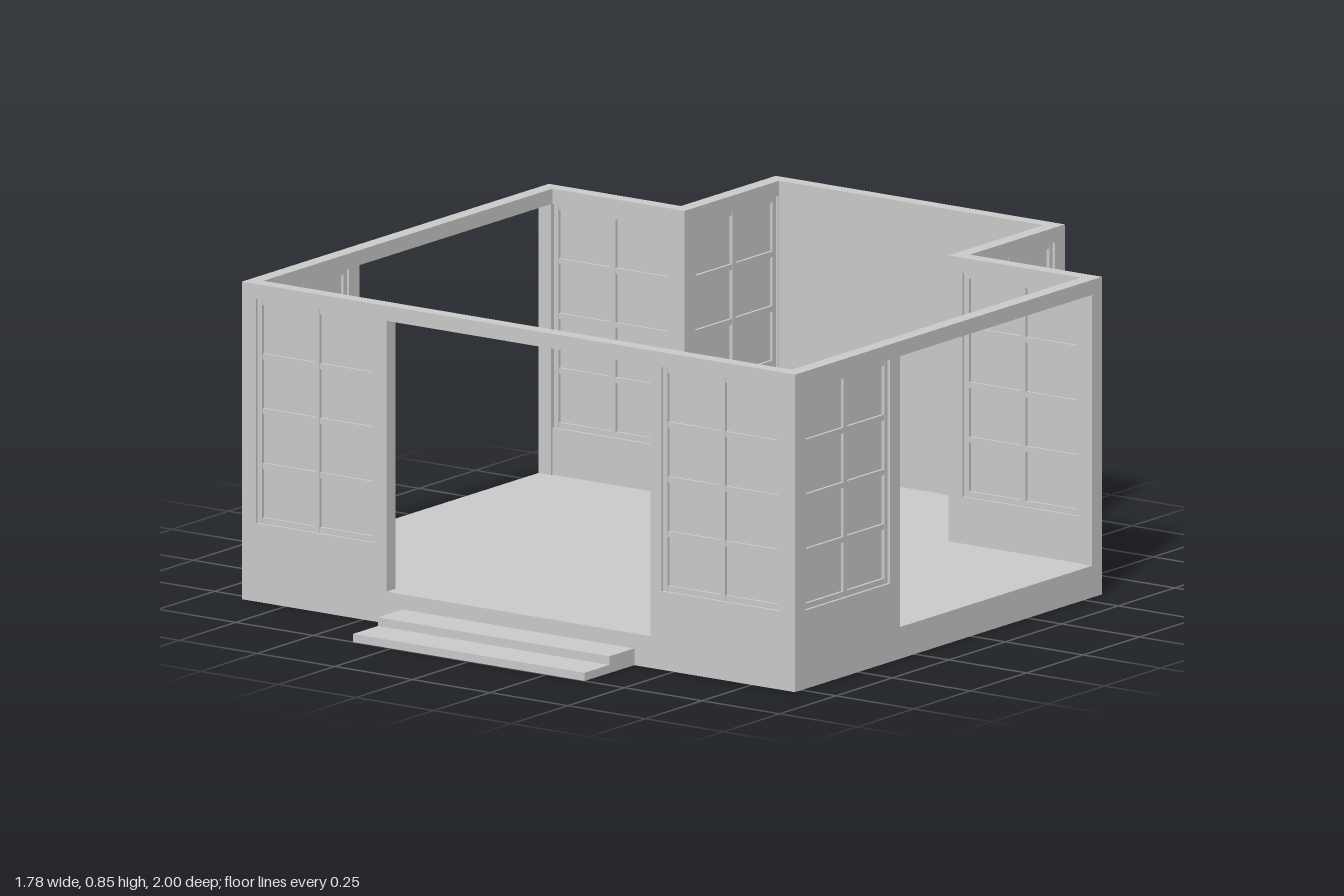
import * as THREE from 'three';

const FLOOR = 0.085, HEAD = 0.81, TOP = 0.85, SILL = 0.21, T = 0.04;
const grey = new THREE.MeshStandardMaterial({ color: 0xcccccc });
const thin = new THREE.MeshStandardMaterial({ color: 0xcccccc, side: THREE.DoubleSide });

function add(parent, name, geometry, material = grey) {
  const mesh = new THREE.Mesh(geometry, material);
  mesh.name = name;
  parent.add(mesh);
  return mesh;
}

const polygon = (pts) => new THREE.Shape(pts.map(([x, y]) => new THREE.Vector2(x, y)));

// Group whose local x runs from a to b on the ground and whose local +z faces outward
function alongLine(name, [ax, az], [bx, bz]) {
  const group = new THREE.Group();
  group.name = name;
  group.position.set(ax, 0, az);
  group.rotation.y = Math.atan2(az - bz, bx - ax);
  return { group, length: Math.hypot(bx - ax, bz - az) };
}

// Recessed pane with a frame and a grid of 2 x 4 lights
function makeWindow(u0, u1) {
  const win = new THREE.Group();
  win.name = 'window';
  const w = u1 - u0, h = HEAD - SILL, bar = 0.015, depth = 0.026;
  win.position.set((u0 + u1) / 2, (SILL + HEAD) / 2, -T / 2);
  add(win, 'pane', new THREE.BoxGeometry(w, h, 0.008));
  for (let i = 0; i <= 2; i++) {
    add(win, 'uprightBar', new THREE.BoxGeometry(bar, h, depth))
      .position.x = (i / 2 - 0.5) * (w - bar);
  }
  for (let i = 0; i <= 4; i++) {
    add(win, 'crossBar', new THREE.BoxGeometry(w, bar, depth - 0.002))
      .position.y = (i / 4 - 0.5) * (h - bar);
  }
  return win;
}

// Wall standing on the floor, with an optional doorway and window holes
function makeWall({ name, a, b, windows = [], opening }) {
  const { group, length } = alongLine(name, a, b);
  const pts = [[0, FLOOR]];
  if (opening) {
    const [o0, o1] = opening;
    pts.push([o0, FLOOR], [o0, HEAD], [o1, HEAD], [o1, FLOOR]);
  }
  pts.push([length, FLOOR], [length, TOP], [0, TOP]);
  const shape = polygon(pts);
  for (const [u0, u1] of windows) {
    shape.holes.push(polygon([[u0, SILL], [u0, HEAD], [u1, HEAD], [u1, SILL]]));
    group.add(makeWindow(u0, u1));
  }
  const geometry = new THREE.ExtrudeGeometry(shape, { depth: T, bevelEnabled: false });
  geometry.translate(0, 0, -T);
  add(group, name + 'Panel', geometry);
  return group;
}

// Two steps, open underneath
function makeSteps() {
  const steps = new THREE.Group();
  steps.name = 'frontSteps';
  const w = 0.745, z0 = 0.78, run = 0.11, low = 0.022, high = 0.045;
  [[z0, high, low], [z0 + run, low, 0]].forEach(([z, y, below]) => {
    const tread = add(steps, 'tread', new THREE.PlaneGeometry(w, run), thin);
    tread.rotation.x = -Math.PI / 2;
    tread.position.set(0, y, z + run / 2);
    add(steps, 'riser', new THREE.PlaneGeometry(w, y - below), thin)
      .position.set(0, (y + below) / 2, z + run);
  });
  const side = polygon([[0, 0], [2 * run, 0], [2 * run, low], [run, low], [run, high], [0, high]]);
  for (const s of [-1, 1]) {
    const cheek = add(steps, 'stepSide', new THREE.ShapeGeometry(side), thin);
    cheek.rotation.y = -Math.PI / 2;
    cheek.position.set(s * w / 2, 0, z0);
  }
  return steps;
}

export function createModel() {
  const model = new THREE.Group();
  model.name = 'room';

  // Outer outline: main room with a narrower alcove at the back
  const X = 0.89, F = 0.78, B = -0.58, A = 0.465, E = -1;
  const outline = [[-X, F], [X, F], [X, B], [A, B], [A, E], [-A, E], [-A, B], [-X, B]];

  // Floor sheet, raised above an open plinth
  const floor = add(model, 'floor',
    new THREE.ShapeGeometry(polygon(outline.map(([x, z]) => [x, -z]))), thin);
  floor.rotation.x = -Math.PI / 2;
  floor.position.y = FLOOR;

  // Plinth skin below the floor
  outline.forEach((a, i) => {
    const { group, length } = alongLine('plinth', a, outline[(i + 1) % outline.length]);
    const skin = new THREE.PlaneGeometry(length, FLOOR).translate(length / 2, FLOOR / 2, 0);
    add(group, 'plinthSkin', skin, thin);
    model.add(group);
  });

  // Walls, listed counterclockwise from the front; spans run along each wall
  const walls = [
    { name: 'frontWall', a: [-X, F], b: [X, F], windows: [[0.045, 0.43], [1.35, 1.735]], opening: [0.465, 1.315] },
    { name: 'leftWall', a: [X, F - T], b: [X, B + T], windows: [[0.004, 0.38]], opening: [0.425, 1.275] },
    { name: 'leftBackWall', a: [X, B], b: [A - T, B], windows: [[0.04, 0.42]] },
    { name: 'leftAlcoveWall', a: [A, B], b: [A, E + T], windows: [[0.003, 0.376]] },
    { name: 'alcoveBackWall', a: [A, E], b: [-A, E] },
    { name: 'rightAlcoveWall', a: [-A, E + T], b: [-A, B], windows: [[0.004, 0.377]] },
    { name: 'rightBackWall', a: [-A + T, B], b: [-X, B], windows: [[0.045, 0.425]] },
    { name: 'rightWall', a: [-X, B + T], b: [-X, F - T], windows: [[0.9, 1.276]], opening: [0.005, 0.855] },
  ];
  walls.forEach((wall) => model.add(makeWall(wall)));

  model.add(makeSteps());
  return model;
}
